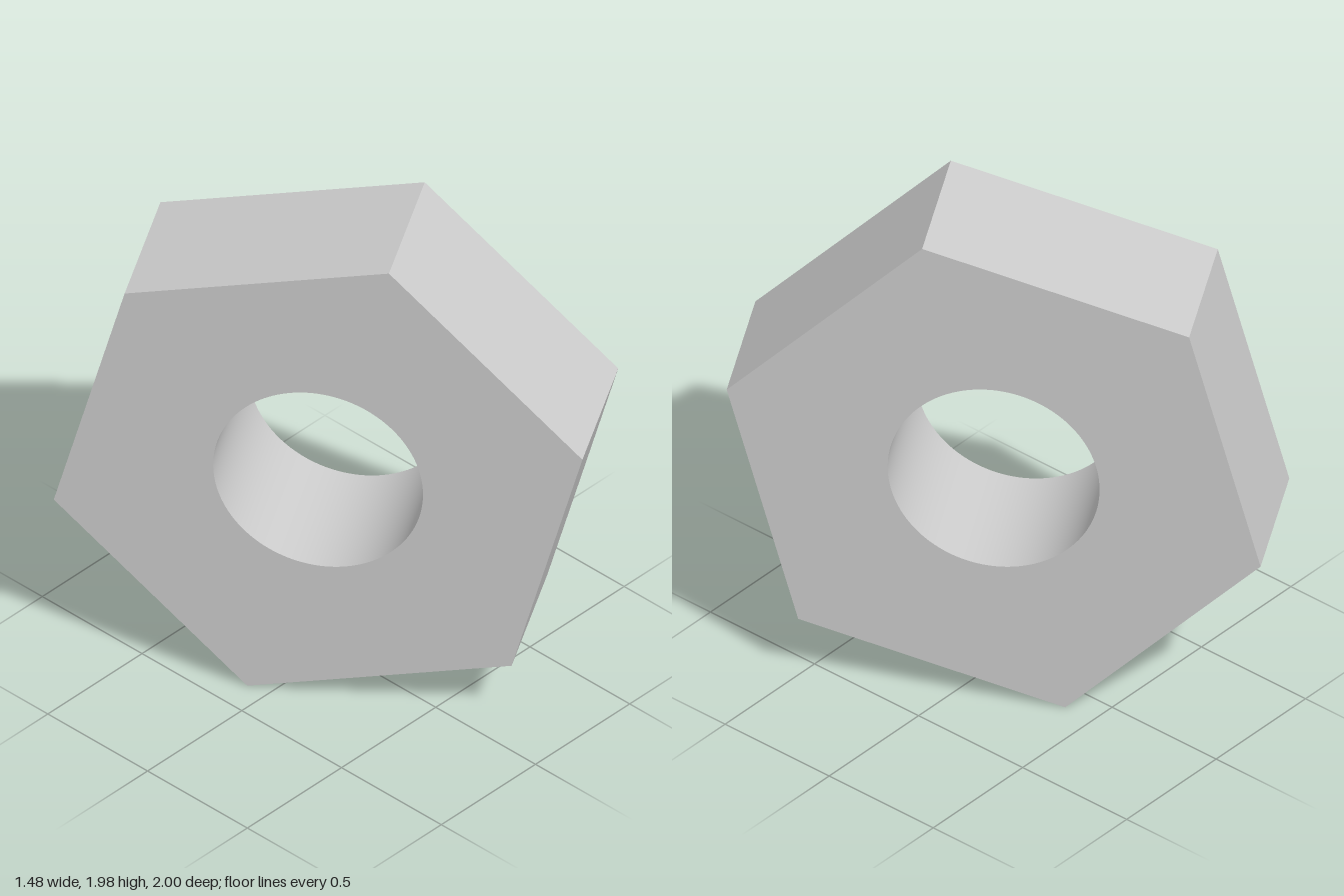
import * as THREE from 'three';
import { toCreasedNormals } from 'three/addons/utils/BufferGeometryUtils.js';

const RADIUS = 1.025; // centre to hexagon corner
const BORE = 0.393; // hole radius
const THICKNESS = 0.565;
const ROLL = Math.PI / 12; // first corner 15 degrees above horizontal

export function createModel() {
  const model = new THREE.Group();
  const steel = new THREE.MeshStandardMaterial({ color: 0xcccccc });
  steel.name = 'steel grey';

  // Hexagonal outline with a round bore
  const outline = new THREE.Shape();
  const corners = [];
  for (let i = 0; i < 6; i++) {
    const a = ROLL + (i * Math.PI) / 3;
    corners.push(new THREE.Vector2(Math.cos(a) * RADIUS, Math.sin(a) * RADIUS));
  }
  outline.setFromPoints(corners);
  outline.closePath();
  const hole = new THREE.Path();
  hole.absarc(0, 0, BORE, 0, Math.PI * 2, true);
  outline.holes.push(hole);

  // Extruded body: smooth bore, sharp outer edges
  const body = new THREE.ExtrudeGeometry(outline, {
    depth: THICKNESS, bevelEnabled: false, curveSegments: 64,
  });
  body.translate(0, 0, -THICKNESS / 2);

  // Stand the nut on its lowest corner, turned about the vertical
  const nut = new THREE.Mesh(toCreasedNormals(body, Math.PI / 6), steel);
  nut.name = 'hexNut';
  nut.rotation.y = -Math.PI / 3;
  nut.position.y = RADIUS * Math.cos(ROLL);
  model.add(nut);
  return model;
}
